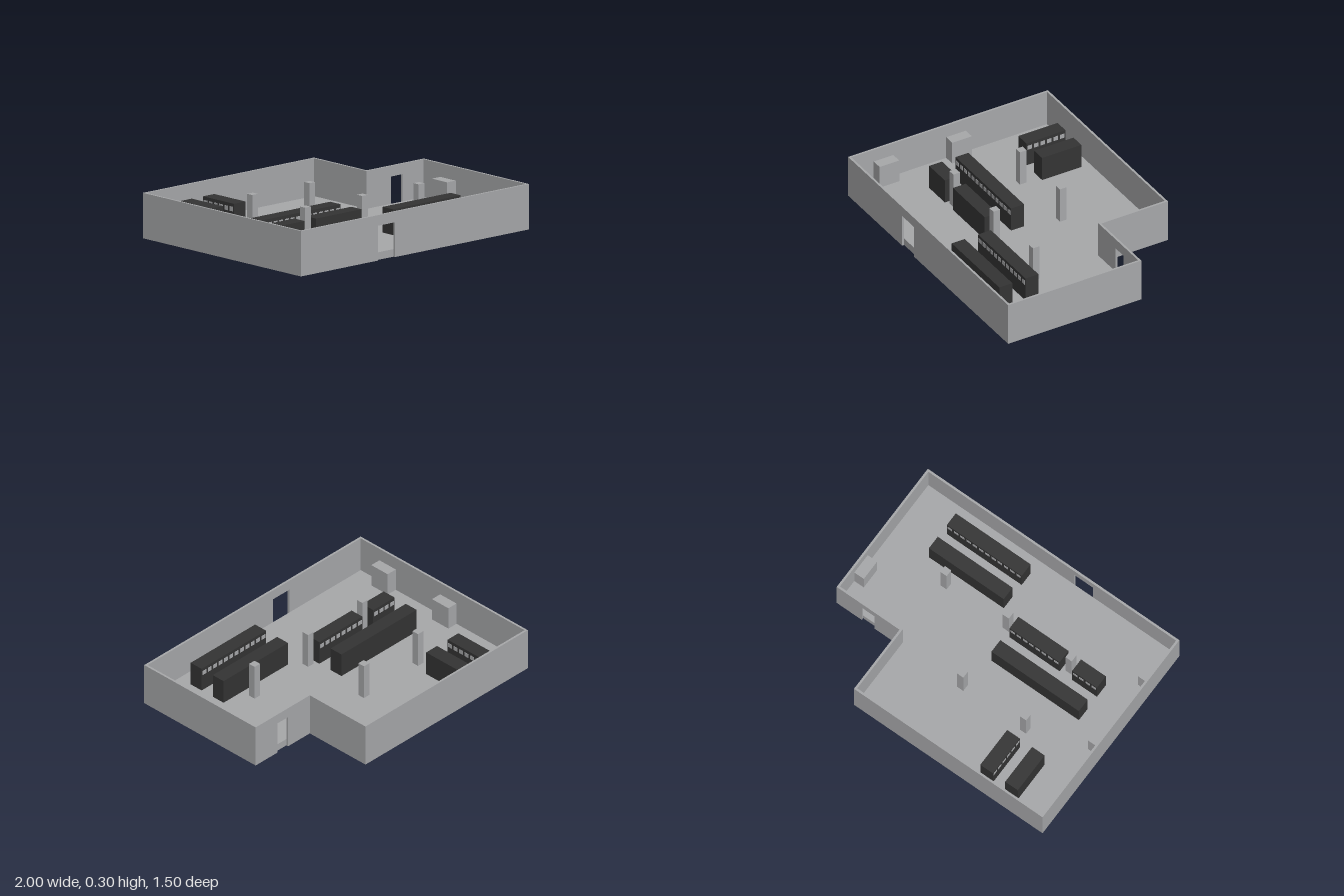
import * as THREE from 'three';

export function createModel() {
  const model = new THREE.Group();
  const grey = new THREE.MeshStandardMaterial({ color: 0xa8a9ab });
  grey.name = 'concrete grey';
  const dark = new THREE.MeshStandardMaterial({ color: 0x343434 });
  dark.name = 'cabinet black';

  const H = 0.3, T = 0.015, FLOOR = 0.05, RACK = 0.22, DOOR = 0.23;

  // Box given by its extents on each axis
  function box(name, mat, [x0, x1], [y0, y1], [z0, z1], parent = model) {
    const mesh = new THREE.Mesh(new THREE.BoxGeometry(x1 - x0, y1 - y0, z1 - z0), mat);
    mesh.position.set((x0 + x1) / 2, (y0 + y1) / 2, (z0 + z1) / 2);
    mesh.name = name;
    parent.add(mesh);
    return mesh;
  }

  // Raised floor filling the L-shaped room
  const a = 1 - T, b = 0.75 - T;
  const outline = new THREE.Shape([
    [-a, -b], [a, -b], [a, 0.25 - T], [0.5 - T, 0.25 - T], [0.5 - T, b], [-a, b],
  ].map(([x, y]) => new THREE.Vector2(x, y)));
  const floor = new THREE.Mesh(
    new THREE.ExtrudeGeometry(outline, { depth: FLOOR, bevelEnabled: false }).rotateX(-Math.PI / 2), grey);
  floor.name = 'raisedFloor';
  model.add(floor);

  // Wall along x, with a doorway open down to the ground
  function doorWall(name, x0, x1, z, d0, d1) {
    const s = new THREE.Shape([
      [x0, 0], [d0, 0], [d0, DOOR], [d1, DOOR], [d1, 0], [x1, 0], [x1, H], [x0, H],
    ].map(([x, y]) => new THREE.Vector2(x, y)));
    const wall = new THREE.Mesh(new THREE.ExtrudeGeometry(s, { depth: T, bevelEnabled: false }), grey);
    wall.position.z = z;
    wall.name = name;
    model.add(wall);
  }
  doorWall('frontWall', -1, 1, 0.75 - T, -0.325, -0.175);
  doorWall('recessWall', 0.5 - T, 1, -0.25, 0.7, 0.8);
  box('backWall', grey, [-1, 0.5], [0, H], [-0.75, -0.75 + T]);
  box('rightWall', grey, [-1, -1 + T], [0, H], [-0.75 + T, 0.75 - T]);
  box('leftWall', grey, [1 - T, 1], [0, H], [-0.25 + T, 0.75 - T]);
  box('recessSideWall', grey, [0.5 - T, 0.5], [0, H], [-0.75 + T, -0.25]);

  // Columns
  for (const [x, z] of [[-0.5, -0.25], [0, -0.25], [-0.5, 0.25], [0, 0.25], [0.495, 0.25]]) {
    box('column', grey, [x - 0.025, x + 0.025], [FLOOR, H], [z - 0.025, z + 0.025]);
  }

  // Cooling units against the side walls
  box('coolingUnit', grey, [-a, -0.91], [FLOOR, 0.21], [-0.125, 0.022]);
  box('coolingUnit', grey, [-a, -0.91], [FLOOR, 0.21], [0.42, 0.567]);
  box('coolingUnit', grey, [0.91, a], [FLOOR, 0.21], [-0.077, 0.07]);

  // Cabinet rows; each cabinet has a small panel on the side facing its aisle
  function rackRow(xs, zs, axis, side) {
    const row = new THREE.Group();
    row.name = 'cabinetRow';
    box('cabinets', dark, xs, [FLOOR, RACK], zs, row);
    const [s, e] = axis === 'x' ? xs : zs;
    const [lo, hi] = axis === 'x' ? zs : xs;
    const face = side > 0 ? [hi, hi + 0.002] : [lo - 0.002, lo];
    const n = Math.round((e - s) / 0.05), step = (e - s) / n;
    for (let i = 0; i < n; i++) {
      const span = [s + (i + 0.16) * step, s + (i + 0.84) * step];
      const [px, pz] = axis === 'x' ? [span, face] : [face, span];
      box('cabinetPanel', grey, px, [0.168, 0.198], pz, row);
    }
    model.add(row);
  }
  rackRow([-0.745, -0.645], [-0.67, -0.375], 'z', 1);
  rackRow([-0.547, -0.447], [-0.67, -0.375], 'z', -1);
  rackRow([-0.745, -0.05], [0, 0.097], 'x', 1);
  rackRow([-0.745, -0.548], [0.198, 0.295], 'x', -1);
  rackRow([-0.448, -0.05], [0.198, 0.295], 'x', -1);
  rackRow([0.097, 0.692], [0.337, 0.434], 'x', 1);
  rackRow([0.097, 0.692], [0.534, 0.632], 'x', -1);

  return model;
}
